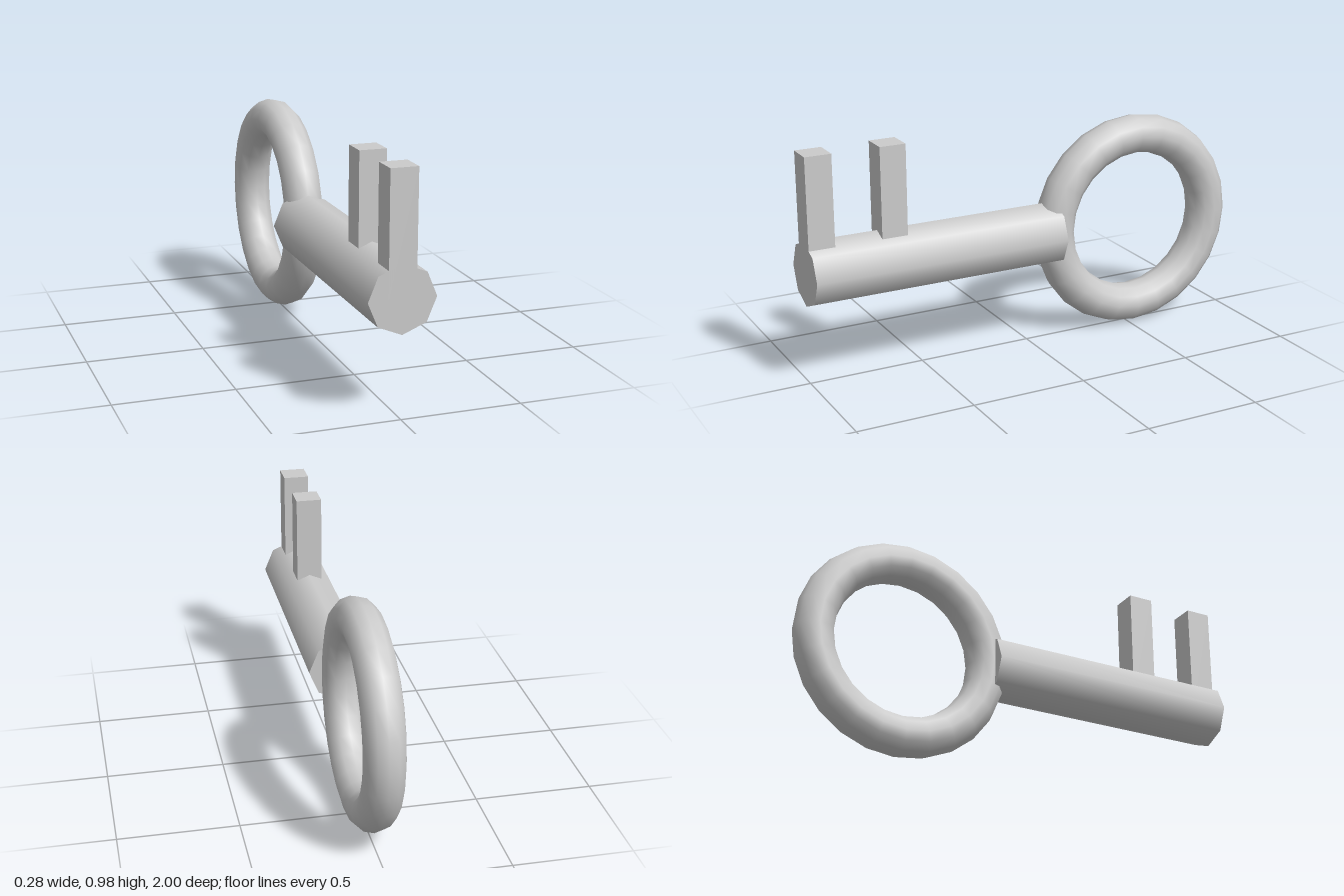
import * as THREE from 'three';

const AXIS_Y = 0.475; // height of the shaft axis and ring centre

export function createModel() {
  const key = new THREE.Group();
  key.name = 'key';
  const material = new THREE.MeshStandardMaterial({ color: 0xcccccc });

  const add = (name, geometry, x, y, z) => {
    const mesh = new THREE.Mesh(geometry, material);
    mesh.name = name;
    mesh.position.set(x, y, z);
    key.add(mesh);
  };

  // Ring handle, standing in the y-z plane
  add('ringHandle', new THREE.TorusGeometry(0.39, 0.085, 12, 24).rotateY(Math.PI / 2), 0, AXIS_Y, -0.525);

  // Eight-sided shaft along z, reaching into the ring
  const back = -0.13, front = 1;
  const shaft = new THREE.CylinderGeometry(0.138, 0.138, front - back, 8).rotateX(Math.PI / 2);
  add('shaft', shaft, 0, AXIS_Y, (front + back) / 2);

  // Two square teeth rising from the shaft
  const width = 0.112, top = 0.975;
  const height = top - AXIS_Y;
  [['frontTooth', front - width / 2], ['rearTooth', 0.63]].forEach(([name, z]) => {
    add(name, new THREE.BoxGeometry(width, height, width), 0, AXIS_Y + height / 2, z);
  });

  return key;
}
